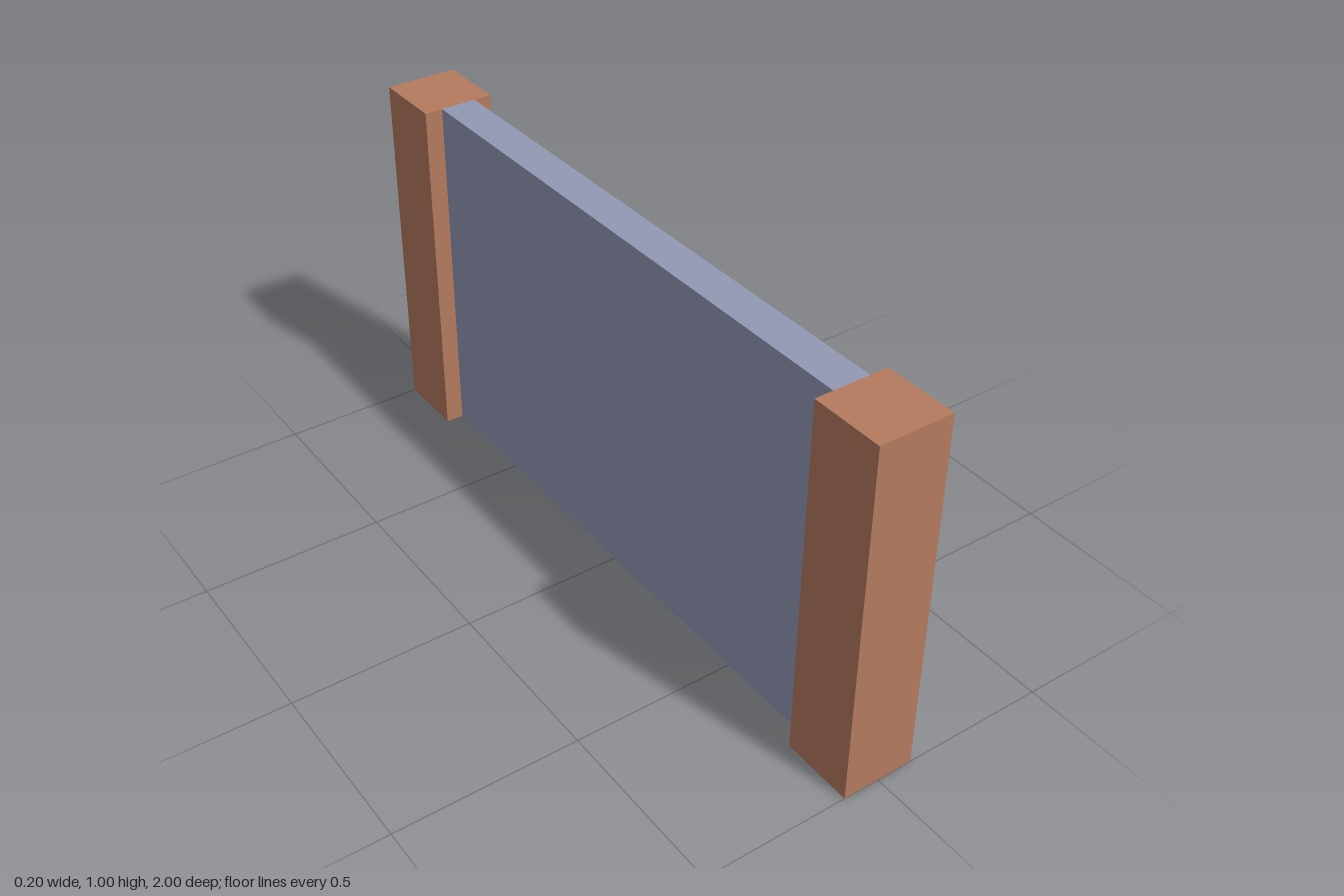
import * as THREE from 'three';

export function createModel() {
  const model = new THREE.Group();
  model.name = 'wallSection';

  const brown = new THREE.MeshStandardMaterial({ color: 0xb47a5f });
  brown.name = 'brown';
  const greyBlue = new THREE.MeshStandardMaterial({ color: 0x9297b4 });
  greyBlue.name = 'greyBlue';

  // A box standing on the ground, centred on x
  function addBlock(name, width, height, depth, z, material) {
    const mesh = new THREE.Mesh(new THREE.BoxGeometry(width, height, depth), material);
    mesh.name = name;
    mesh.position.set(0, height / 2, z);
    model.add(mesh);
  }

  // Thin panel between the posts
  addBlock('panel', 0.1, 1, 1.6, 0, greyBlue);

  // Square end posts
  addBlock('frontPost', 0.2, 1, 0.2, 0.9, brown);
  addBlock('backPost', 0.2, 1, 0.2, -0.9, brown);

  return model;
}
